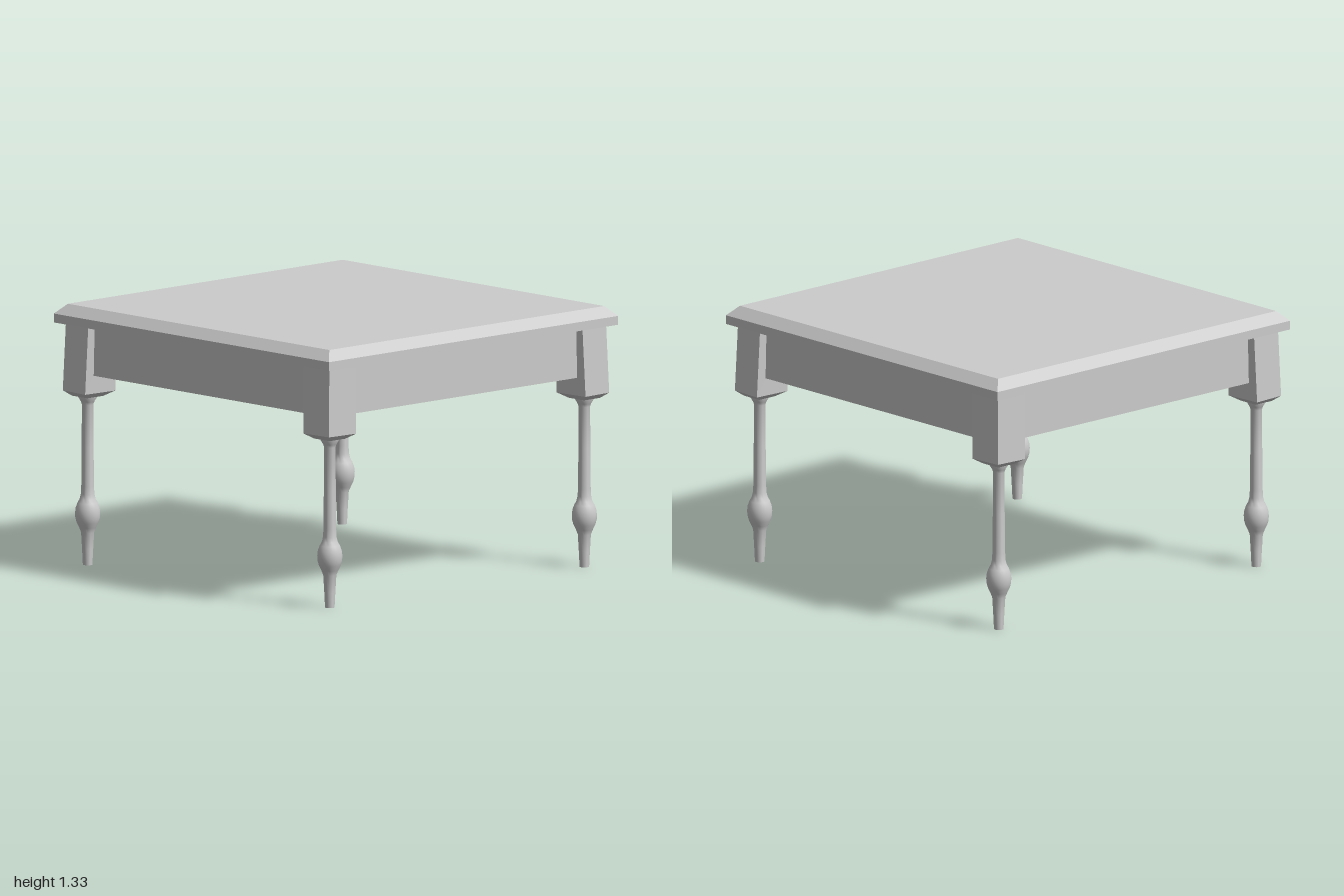
import * as THREE from 'three';
import { toCreasedNormals } from 'three/addons/utils/BufferGeometryUtils.js';

const material = new THREE.MeshStandardMaterial({ color: 0xcccccc });

function addMesh(parent, name, geometry) {
  const mesh = new THREE.Mesh(geometry, material);
  mesh.name = name;
  parent.add(mesh);
  return mesh;
}

// Flat-faced solid through four-cornered rings, capped at both ends.
// Each ring is { y, corners: [[x, z] * 4] }, counter-clockwise from above.
function loft(rings) {
  const pos = [];
  const quad = (a, b, c, d) => pos.push(...a, ...b, ...c, ...a, ...c, ...d);
  const pts = rings.map(({ y, corners }) => corners.map(([x, z]) => [x, y, z]));
  for (let i = 0; i < pts.length - 1; i++) {
    for (let j = 0; j < 4; j++) {
      const k = (j + 1) % 4;
      quad(pts[i][j], pts[i][k], pts[i + 1][k], pts[i + 1][j]);
    }
  }
  const first = pts[0], last = pts[pts.length - 1];
  quad(first[3], first[2], first[1], first[0]);
  quad(last[0], last[1], last[2], last[3]);
  const g = new THREE.BufferGeometry();
  g.setAttribute('position', new THREE.Float32BufferAttribute(pos, 3));
  g.computeVertexNormals();
  return g;
}

const square = (h, y, c = 0) => ({
  y, corners: [[c + h, c + h], [c + h, c - h], [c - h, c - h], [c - h, c + h]],
});

// Slightly skewed leg block section, symmetric about the table's diagonal
const kite = (y, outer, side, near, inner) => ({
  y, corners: [[outer, outer], [side, near], [inner, inner], [near, side]],
});

export function createModel() {
  const table = new THREE.Group();
  table.name = 'table';

  // Bevelled top with a shallow recess underneath
  addMesh(table, 'tabletop', loft([
    square(0.87, 1.295), square(0.87, 1.23), square(1, 1.23),
    square(1, 1.275), square(0.95, 1.325),
  ]));

  // Leg block with a tapered underside
  const blockGeometry = loft([
    square(0.055, 0.858, 0.88),
    kite(0.885, 0.968, 0.98, 0.793, 0.782),
    kite(1.232, 0.957, 0.968, 0.783, 0.776),
  ]);

  // Turned leg: tapered foot, bulb, slim shaft, flared collar
  const profile = [
    [0, 0], [0.024, 0], [0.028, 0.08], [0.033, 0.165], [0.043, 0.19],
    [0.055, 0.215], [0.062, 0.24], [0.063, 0.265], [0.06, 0.29],
    [0.051, 0.315], [0.04, 0.335], [0.034, 0.36], [0.032, 0.4],
    [0.03, 0.6], [0.029, 0.815], [0.034, 0.83], [0.046, 0.85], [0.047, 0.87], [0, 0.87],
  ].map(([r, y]) => new THREE.Vector2(r, y));
  const legGeometry = toCreasedNormals(new THREE.LatheGeometry(profile, 24), 0.7);

  const apronGeometry = new THREE.BoxGeometry(1.7, 0.255, 0.03);

  // One corner and one apron per side
  for (let i = 0; i < 4; i++) {
    const side = new THREE.Group();
    side.name = 'side' + (i + 1);
    side.rotation.y = i * Math.PI / 2;
    addMesh(side, 'legBlock', blockGeometry);
    addMesh(side, 'turnedLeg', legGeometry).position.set(0.88, 0, 0.88);
    addMesh(side, 'apron', apronGeometry).position.set(0, 1.1035, 0.91);
    table.add(side);
  }
  return table;
}
